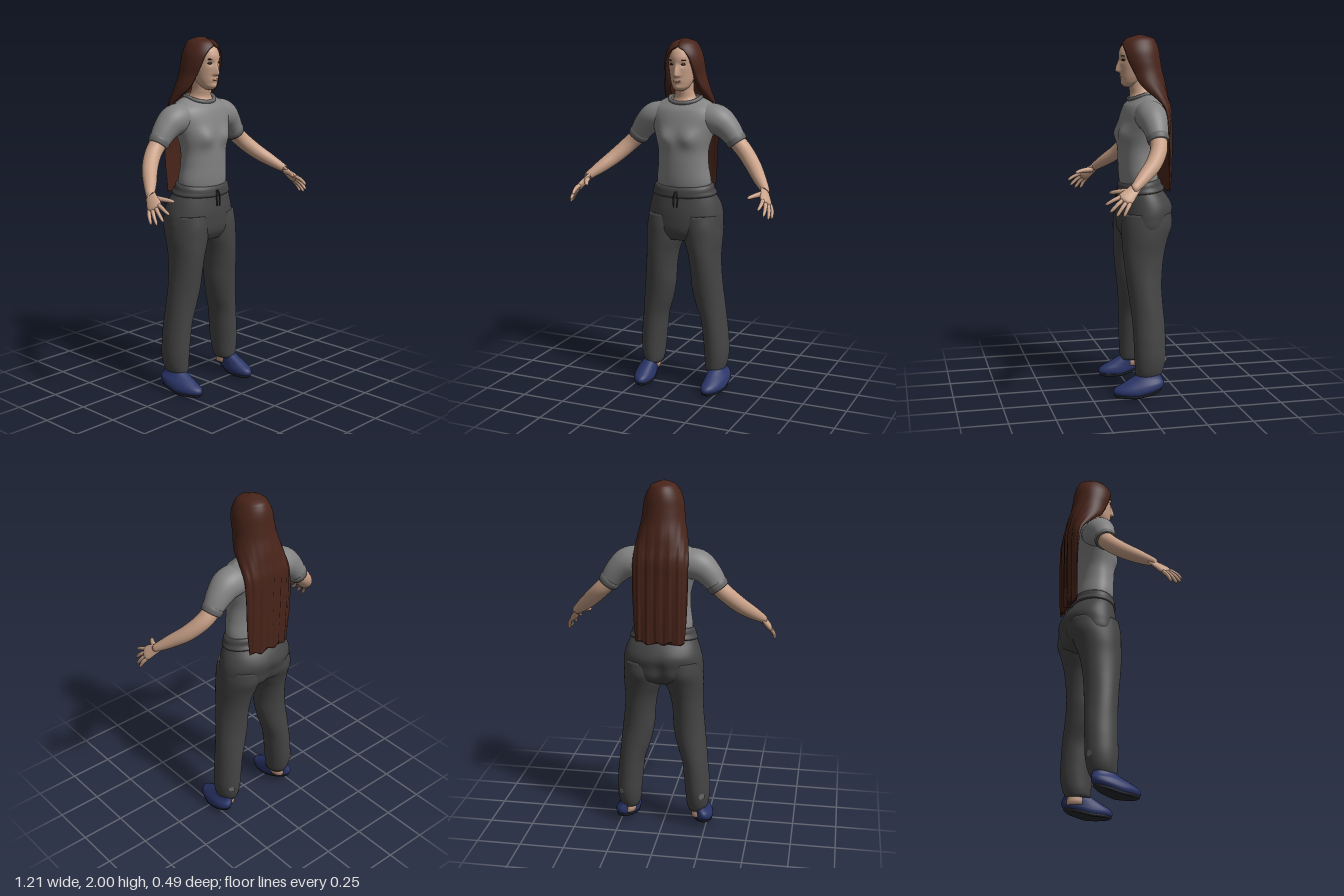
import * as THREE from 'three';

const mat = (name, color) => Object.assign(new THREE.MeshStandardMaterial({ color }), { name });
const V = (x, y, z) => new THREE.Vector3(x, y, z);
const TAU = Math.PI * 2;
const bump = (d, w) => Math.exp(-((d / w) ** 2));
const smooth = THREE.MathUtils.smoothstep;

// Joins closed rings of points into a capped, smooth surface
function skinRings(rings) {
  const n = rings[0].length, pos = [], idx = [];
  for (const r of rings) for (const p of r) pos.push(p.x, p.y, p.z);
  for (let i = 0; i < rings.length - 1; i++) for (let j = 0; j < n; j++) {
    const a = i * n + j, b = i * n + (j + 1) % n;
    idx.push(a, a + n, b, b, a + n, b + n);
  }
  const cap = (ring, base, top) => {
    const c = pos.length / 3;
    const m = ring.reduce((s, p) => s.add(p), V(0, 0, 0)).divideScalar(n);
    pos.push(m.x, m.y, m.z);
    for (let j = 0; j < n; j++) {
      const a = base + j, b = base + (j + 1) % n;
      top ? idx.push(c, b, a) : idx.push(c, a, b);
    }
  };
  cap(rings[0], 0, false);
  cap(rings.at(-1), (rings.length - 1) * n, true);
  const g = new THREE.BufferGeometry();
  g.setAttribute('position', new THREE.Float32BufferAttribute(pos, 3));
  g.setIndex(idx);
  g.computeVertexNormals();
  return g;
}

// Smooth samples of rows [t, ...values]
function sample(rows, count) {
  const f = new THREE.CubicInterpolant(rows.map(r => r[0]), rows.flatMap(r => r.slice(1)), rows[0].length - 1);
  const t0 = rows[0][0], t1 = rows.at(-1)[0];
  return Array.from({ length: count + 1 }, (_, i) => {
    const t = t0 + (t1 - t0) * i / count;
    return [t, ...f.evaluate(t)];
  });
}

// Upright form from rows [y, centreX, radiusX, frontZ, backZ]
function loft(rows, count = 32, n = 48, shape = null) {
  return skinRings(sample(rows, count).map(([y, cx, rx, zf, zb]) =>
    Array.from({ length: n }, (_, j) => {
      const a = j / n * TAU;
      const p = V(cx + Math.max(rx, 0.001) * Math.cos(a), y, (zf + zb) / 2 + (zf - zb) / 2 * Math.sin(a));
      if (shape) shape(p, a, y);
      return p;
    })));
}

// Limb along points [x, y, z, radius]; flat squeezes it along ref
function limb(points, s, { count = 16, n = 20, flat = 1, ref = [0, 0, 1], round = false } = {}) {
  const rows = sample(points.map(([x, y, z, r], i) => [i, s * x, y, z, r]), count);
  const at = i => V(rows[i][1], rows[i][2], rows[i][3]);
  const up = V(s * ref[0], ref[1], ref[2]);
  return skinRings(rows.map((row, i) => {
    const T = at(Math.min(i + 1, count)).sub(at(Math.max(i - 1, 0))).normalize();
    const u = up.clone().cross(T).normalize(), v = u.clone().cross(T);
    const e = Math.max(0, (i / count - 0.8) / 0.2);
    const r = row[4] * (round ? Math.sqrt(1 - 0.93 * e * e) : 1);
    return Array.from({ length: n }, (_, j) => at(i)
      .addScaledVector(u, r * Math.cos(j / n * TAU))
      .addScaledVector(v, r * flat * Math.sin(j / n * TAU)));
  }));
}

// Long hair: crescent rings from rows [y, radiusX, centreZ, depth, openingAngle, thickness]
function hairGeometry() {
  const rows = [
    [1.14, 0.135, -0.205, 0.022, 1.6, 0.02], [1.3, 0.147, -0.205, 0.028, 1.57, 0.022],
    [1.5, 0.152, -0.2, 0.035, 1.5, 0.025], [1.6, 0.15, -0.185, 0.05, 1.4, 0.03],
    [1.66, 0.145, -0.15, 0.075, 1.2, 0.03], [1.72, 0.135, -0.11, 0.105, 1.0, 0.035],
    [1.8, 0.118, -0.085, 0.11, 0.85, 0.035], [1.86, 0.112, -0.07, 0.115, 0.75, 0.03],
    [1.91, 0.103, -0.065, 0.113, 0.6, 0.025], [1.94, 0.091, -0.065, 0.105, 0.35, 0.02],
    [1.958, 0.081, -0.066, 0.096, 0, 0.02], [1.985, 0.055, -0.07, 0.068, 0, 0.015],
    [2.0, 0.012, -0.07, 0.015, 0, 0.01]];
  const half = 56;
  return skinRings(sample(rows, 100).map(([y, rx, zc, d, open, th]) => {
    const o = Math.max(open, 0), ring = [];
    for (let k = 0; k < 2 * half; k++) {
      const inner = k >= half, q = (k % half) / (half - 1);
      const phi = inner ? o + (TAU - 2 * o) * q : TAU - o - (TAU - 2 * o) * q;
      const t = inner ? th : 0;
      const p = V(Math.max(rx - t, 0.002) * Math.sin(phi), y, zc + Math.max(d - t, 0.002) * Math.cos(phi));
      const low = 1 - smooth(y, 1.55, 1.9);
      if (!inner) p.z += low * (0.003 * Math.sin(p.x * 115 + y * 3) + 0.002 * Math.sin(p.x * 260));
      p.y += (1 - smooth(y, 1.14, 1.25)) * 0.01 * Math.sin(p.x * 70);
      ring.push(p);
    }
    return ring;
  }));
}

export function createModel() {
  const skin = mat('skin', 0xc9a188), hairMat = mat('brown hair', 0x48241a), shirt = mat('grey shirt', 0x838383);
  const trim = mat('dark grey trim', 0x686868), pants = mat('charcoal trousers', 0x444444);
  const cord = mat('dark cord', 0x2c2c2c), shoe = mat('navy shoe', 0x2a3568), sole = mat('dark sole', 0x26282e);
  const eye = mat('dark eye', 0x33221c), lip = mat('lip', 0xa87363);
  const model = new THREE.Group();
  const add = (name, geo, m, x = 0, y = 0, z = 0) => {
    const mesh = new THREE.Mesh(geo, m);
    mesh.name = name;
    mesh.position.set(x, y, z);
    model.add(mesh);
    return mesh;
  };
  const blob = (rx, ry, rz) => new THREE.SphereGeometry(1, 20, 12).scale(rx, ry, rz);

  // Head with sculpted nose, eye sockets and lips
  add('head', loft([
    [1.715, 0, 0.02, 0.018, -0.03], [1.73, 0, 0.04, 0.032, -0.06], [1.755, 0, 0.055, 0.038, -0.09],
    [1.8, 0, 0.068, 0.044, -0.13], [1.86, 0, 0.075, 0.05, -0.15], [1.91, 0, 0.073, 0.048, -0.155],
    [1.95, 0, 0.058, 0.022, -0.13], [1.972, 0, 0.03, -0.02, -0.1]], 72, 96, (p, a, y) => {
    if (Math.sin(a) < 0) return;
    const nose = smooth(y, 1.788, 1.802) * (1 - smooth(y, 1.8, 1.88));
    p.z += 0.026 * nose * bump(p.x, 0.008 + 0.008 * nose);
    p.z -= 0.008 * bump(Math.abs(p.x) - 0.032, 0.016) * bump(y - 1.862, 0.014);
    p.z += 0.004 * bump(p.x, 0.025) * bump(y - 1.771, 0.01) + 0.005 * bump(p.x, 0.02) * bump(y - 1.735, 0.012);
  }), skin);
  add('lips', blob(0.022, 0.006, 0.005), lip, 0, 1.771, 0.042);
  add('neck', loft([[1.6, 0, 0.09, -0.005, -0.15], [1.645, 0, 0.084, -0.006, -0.15],
    [1.675, 0, 0.062, -0.014, -0.14], [1.71, 0, 0.053, -0.008, -0.125], [1.76, 0, 0.053, 0, -0.12]]), skin);
  add('hair', hairGeometry(), hairMat);

  // Shirt body with a dipped neckline
  add('shirt', loft([
    [1.165, 0, 0.154, 0.038, -0.168], [1.2, 0, 0.16, 0.045, -0.17], [1.3, 0, 0.148, 0.052, -0.158],
    [1.38, 0, 0.147, 0.054, -0.158], [1.46, 0, 0.167, 0.053, -0.172], [1.52, 0, 0.188, 0.045, -0.185],
    [1.58, 0, 0.2, 0.03, -0.19], [1.62, 0, 0.185, 0.014, -0.188], [1.655, 0, 0.14, 0, -0.172],
    [1.677, 0, 0.09, -0.012, -0.15]], 50, 64, (p, a, y) => {
    p.y -= 0.03 * Math.max(0, Math.sin(a)) * smooth(y, 1.6, 1.677);
    if (Math.sin(a) > 0) p.z += 0.022 * bump(Math.abs(p.x) - 0.075, 0.05) * bump(y - 1.455, 0.05);
  }), shirt);
  const ring = Array.from({ length: 24 }, (_, i) => {
    const a = i / 24 * TAU;
    return V(0.09 * Math.cos(a), 1.675 - 0.028 * Math.max(0, Math.sin(a)), -0.081 + 0.073 * Math.sin(a));
  });
  add('collar', new THREE.TubeGeometry(new THREE.CatmullRomCurve3(ring, true), 64, 0.011, 10, true), trim);

  // Hips, waistband and drawcord
  add('hips', loft([
    [0.875, 0, 0.165, 0.03, -0.15], [0.92, 0, 0.214, 0.055, -0.218], [1.0, 0, 0.223, 0.062, -0.243],
    [1.05, 0, 0.216, 0.06, -0.249], [1.1, 0, 0.2, 0.053, -0.226], [1.15, 0, 0.176, 0.045, -0.187],
    [1.185, 0, 0.165, 0.04, -0.174]], 32, 64, (p, a, y) => {
    if (Math.sin(a) < 0) p.z += 0.02 * bump(p.x, 0.03) * bump(y - 0.95, 0.08);
  }), pants);
  add('waistband', loft([
    [1.132, 0, 0.183, 0.046, -0.198], [1.138, 0, 0.19, 0.054, -0.204], [1.16, 0, 0.181, 0.056, -0.19],
    [1.185, 0, 0.174, 0.051, -0.182], [1.195, 0, 0.165, 0.044, -0.174]], 20, 64, (p, a) => {
    p.y -= 0.014 * Math.sin(a);
  }), pants);
  for (const s of [1, -1]) {
    add('drawcord', limb([[0.004, 1.16, 0.057, 0.004], [0.012, 1.12, 0.064, 0.004],
      [0.009, 1.07, 0.066, 0.004]], s, { n: 8 }), cord);
  }

  for (const s of [1, -1]) {
    const side = s > 0 ? 'left' : 'right';
    const mirror = rows => rows.map(([y, cx, ...r]) => [y, s * cx, ...r]);

    // Eyes and brows
    add(side + 'Eye', blob(0.014, 0.006, 0.005), eye, s * 0.034, 1.862, 0.032).rotation.y = s * 0.4;
    add(side + 'Brow', blob(0.018, 0.0035, 0.005), eye, s * 0.035, 1.884, 0.036).rotation.y = s * 0.45;

    // Sleeve, cuff and arm
    add(side + 'Sleeve', limb([[0.11, 1.565, -0.088, 0.084], [0.19, 1.553, -0.09, 0.085],
      [0.25, 1.508, -0.095, 0.071], [0.305, 1.437, -0.098, 0.054]], s, { n: 32 }), shirt);
    add(side + 'Cuff', limb([[0.286, 1.462, -0.098, 0.058], [0.296, 1.449, -0.098, 0.061],
      [0.31, 1.43, -0.098, 0.056]], s, { n: 32, count: 8 }), trim);
    add(side + 'Arm', limb([[0.28, 1.46, -0.1, 0.048], [0.35, 1.392, -0.088, 0.046],
      [0.42, 1.322, -0.04, 0.043], [0.48, 1.265, 0.025, 0.036], [0.53, 1.22, 0.08, 0.025],
      [0.535, 1.212, 0.09, 0.023]], s, { count: 30, n: 28 }), skin);

    // Hand: palm, four fingers and thumb
    const back = [0.8, 0.57, 0.11];
    add(side + 'Palm', limb([[0.525, 1.225, 0.072, 0.026], [0.542, 1.195, 0.105, 0.034],
      [0.556, 1.17, 0.135, 0.042], [0.568, 1.15, 0.158, 0.038]], s, { flat: 0.42, ref: back, round: true }), skin);
    const tips = [[0.55, 1.135, 0.245], [0.575, 1.1, 0.226], [0.592, 1.08, 0.196], [0.6, 1.079, 0.16]];
    tips.forEach(([x, y, z], i) => {
      const b = [0.549 + i * 0.0095, 1.175 - i * 0.01, 0.165 - i * 0.0145];
      const mid = [(b[0] + x) / 2 + 0.005, (b[1] + y) / 2 + 0.004, (b[2] + z) / 2];
      add(side + 'Finger', limb([[...b, 0.0115], [...mid, 0.0105], [x, y, z, 0.008]], s, { n: 12, round: true }), skin);
    });
    add(side + 'Thumb', limb([[0.534, 1.2, 0.1, 0.018], [0.506, 1.197, 0.163, 0.013],
      [0.478, 1.188, 0.21, 0.009]], s, { n: 12, round: true, ref: [0, 1, 0] }), skin);

    // Trouser leg with a small patch on the calf
    add(side + 'TrouserLeg', loft(mirror([
      [0.1, 0.195, 0.05, -0.004, -0.138], [0.125, 0.198, 0.06, 0, -0.152], [0.2, 0.2, 0.07, 0.005, -0.17],
      [0.3, 0.193, 0.073, 0.008, -0.172], [0.4, 0.182, 0.074, 0.012, -0.17], [0.5, 0.162, 0.085, 0.02, -0.164],
      [0.6, 0.146, 0.09, 0.032, -0.16], [0.7, 0.138, 0.088, 0.045, -0.165], [0.8, 0.128, 0.094, 0.055, -0.18],
      [0.88, 0.115, 0.11, 0.058, -0.203], [0.95, 0.11, 0.112, 0.059, -0.228], [1.02, 0.105, 0.108, 0.05, -0.225]]),
    60, 40), pants);
    const patch = add(side + 'CalfPatch', new THREE.CircleGeometry(0.019, 16), trim, s * 0.234, 0.21, -0.165);
    patch.lookAt(s * 0.764, 0.21, -1.015);

    // Ankle, shoe and sole; the heel is raised and the toe turns in
    add(side + 'Ankle', loft(mirror([[0.06, 0.2, 0.036, -0.03, -0.135], [0.16, 0.2, 0.036, -0.04, -0.13]]), 4, 24), skin);
    const foot = p => {
      p.x -= s * 0.12 * p.z;
      p.y += 0.035 * Math.max(0, -p.z / 0.15) * (1 - smooth(p.y, 0.03, 0.12));
    };
    add(side + 'Shoe', loft(mirror([
      [0.012, 0.22, 0.054, 0.122, -0.135], [0.03, 0.221, 0.061, 0.131, -0.15], [0.05, 0.22, 0.06, 0.12, -0.152],
      [0.07, 0.217, 0.056, 0.085, -0.15], [0.1, 0.208, 0.046, 0.03, -0.145],
      [0.125, 0.203, 0.04, -0.015, -0.138]]), 24, 40, foot), shoe);
    add(side + 'Sole', loft(mirror([[0, 0.22, 0.05, 0.112, -0.13], [0.008, 0.22, 0.056, 0.124, -0.14],
      [0.016, 0.22, 0.056, 0.124, -0.14]]), 6, 40, foot), sole);
  }
  return model;
}
